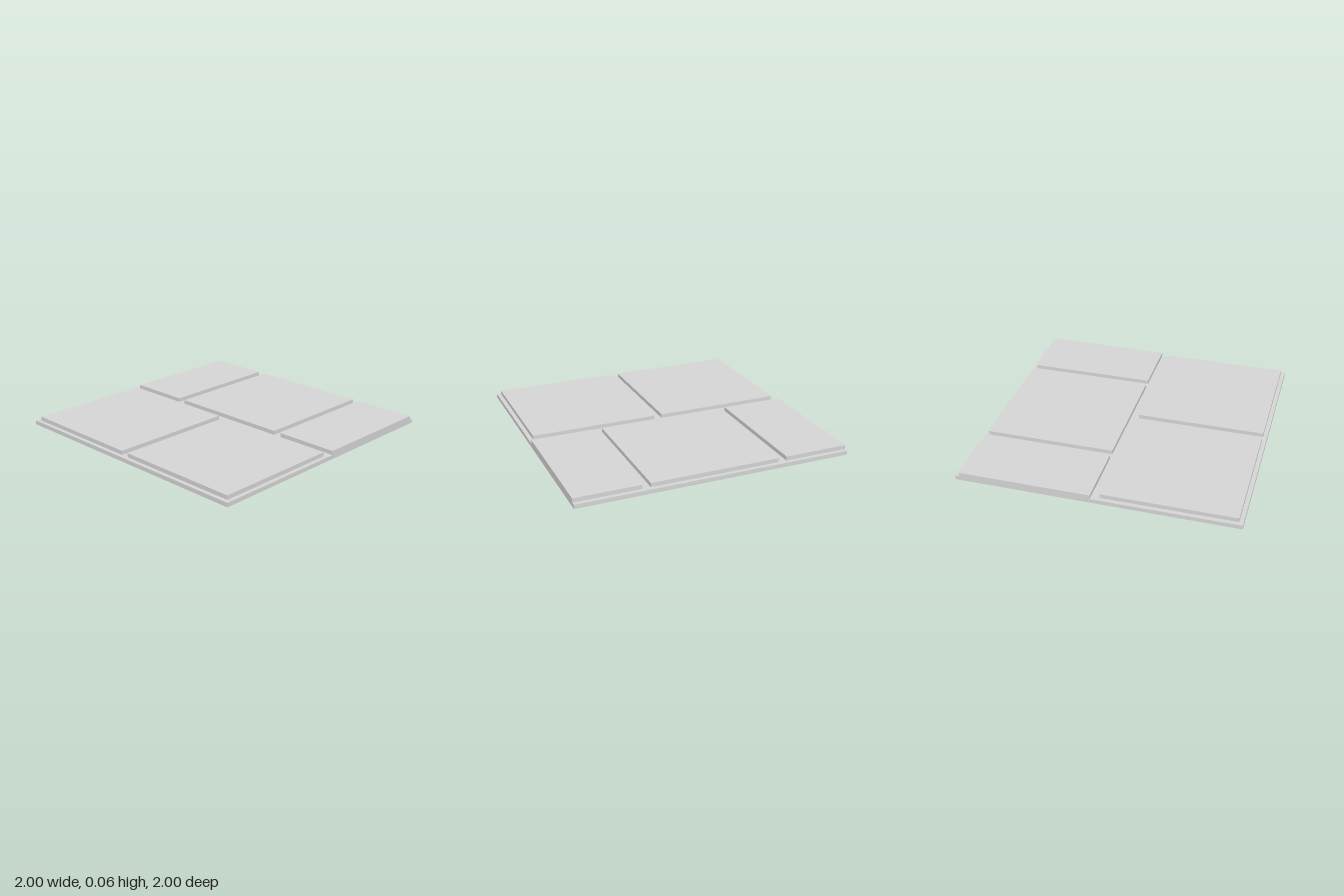
import * as THREE from 'three';

const BASE_HEIGHT = 0.03;
const TILE_HEIGHT = 0.03;

export function createModel() {
  const group = new THREE.Group();
  group.name = 'pavingSlab';

  const stone = new THREE.MeshStandardMaterial({ color: 0xd5d5d5, side: THREE.DoubleSide });
  stone.name = 'stoneGrey';

  // Open-bottomed box given by its x and z limits, standing on height y
  function addBlock(name, x0, x1, z0, z1, y, height) {
    const geometry = new THREE.BoxGeometry(x1 - x0, height, z1 - z0);
    // Leave out the underside, the fourth of the six faces
    const index = Array.from(geometry.index.array);
    index.splice(18, 6);
    geometry.setIndex(index);
    geometry.clearGroups();

    const mesh = new THREE.Mesh(geometry, stone);
    mesh.position.set((x0 + x1) / 2, y + height / 2, (z0 + z1) / 2);
    mesh.name = name;
    group.add(mesh);
  }

  // Thin mortar bed, hollow underneath
  addBlock('base', -1, 1, -1, 1, 0, BASE_HEIGHT);

  // Raised tiles in running bond: two whole in front, one whole and two halves behind
  const rows = [
    { name: 'frontTile', z: [0.03, 0.97], spans: [[-0.97, -0.03], [0.03, 0.97]] },
    { name: 'backTile', z: [-0.97, -0.03], spans: [[-1, -0.53], [-0.47, 0.47], [0.53, 1]] },
  ];
  for (const { name, z, spans } of rows) {
    spans.forEach(([x0, x1], i) =>
      addBlock(`${name}${i + 1}`, x0, x1, z[0], z[1], BASE_HEIGHT, TILE_HEIGHT));
  }

  return group;
}
